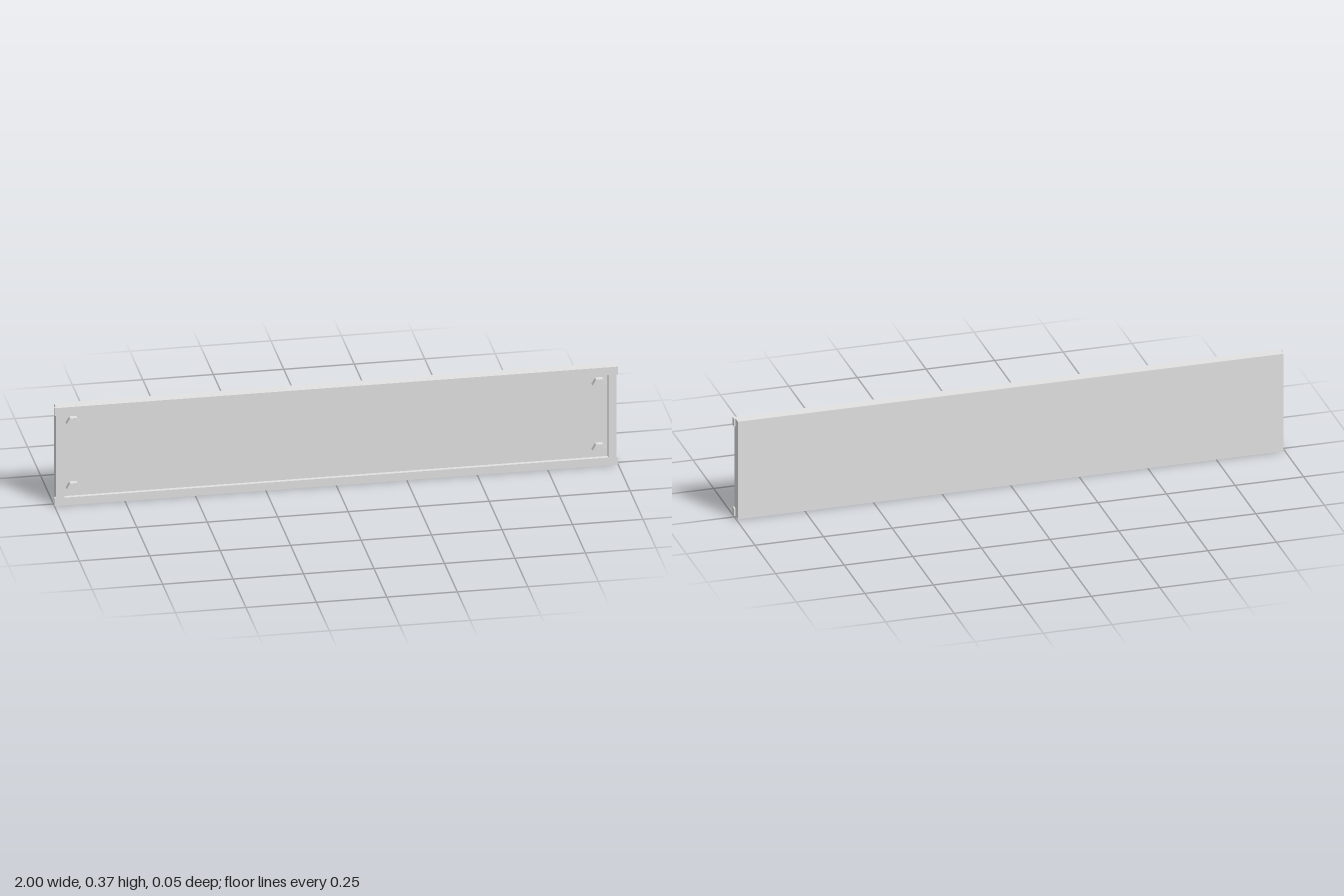
import * as THREE from 'three';

const HEIGHT = 0.374, BACK = -0.024, RECESS = 0.006, FRONT = 0.02;

export function createModel() {
  const group = new THREE.Group();
  const grey = new THREE.MeshStandardMaterial({ color: 0xe3e3e3, flatShading: true });
  grey.name = 'light grey';

  const add = (name, geometry) => {
    const mesh = new THREE.Mesh(geometry, grey);
    mesh.name = name;
    group.add(mesh);
  };

  // Backing board
  const board = new THREE.BoxGeometry(1.988, HEIGHT, RECESS - BACK);
  board.translate(0, HEIGHT / 2, (RECESS + BACK) / 2);
  add('backingBoard', board);

  // Raised border: rails overhang the stiles slightly at the corners
  const rail = 0.03, end = 1, stile = 0.994, inner = 0.965, top = HEIGHT - rail;
  const points = (list) => list.map(([x, y]) => new THREE.Vector2(x, y));
  const outline = new THREE.Shape(points([
    [-end, 0], [end, 0], [end, rail], [stile, rail], [stile, top], [end, top],
    [end, HEIGHT], [-end, HEIGHT], [-end, top], [-stile, top], [-stile, rail], [-end, rail],
  ]));
  outline.holes.push(new THREE.Path(points([
    [-inner, rail], [-inner, top], [inner, top], [inner, rail],
  ])));
  const border = new THREE.ExtrudeGeometry(outline, { depth: FRONT - RECESS, bevelEnabled: false });
  border.translate(0, 0, RECESS);
  add('raisedBorder', border);

  // Hexagonal bolt heads near the corners
  const boltFront = 0.025;
  for (const x of [-0.933, 0.933]) {
    for (const y of [0.063, 0.311]) {
      const bolt = new THREE.CylinderGeometry(0.025, 0.025, boltFront - RECESS, 6);
      bolt.rotateY(Math.PI / 2);
      bolt.rotateX(Math.PI / 2);
      bolt.translate(x, y, (boltFront + RECESS) / 2);
      add('boltHead', bolt);
    }
  }
  return group;
}
